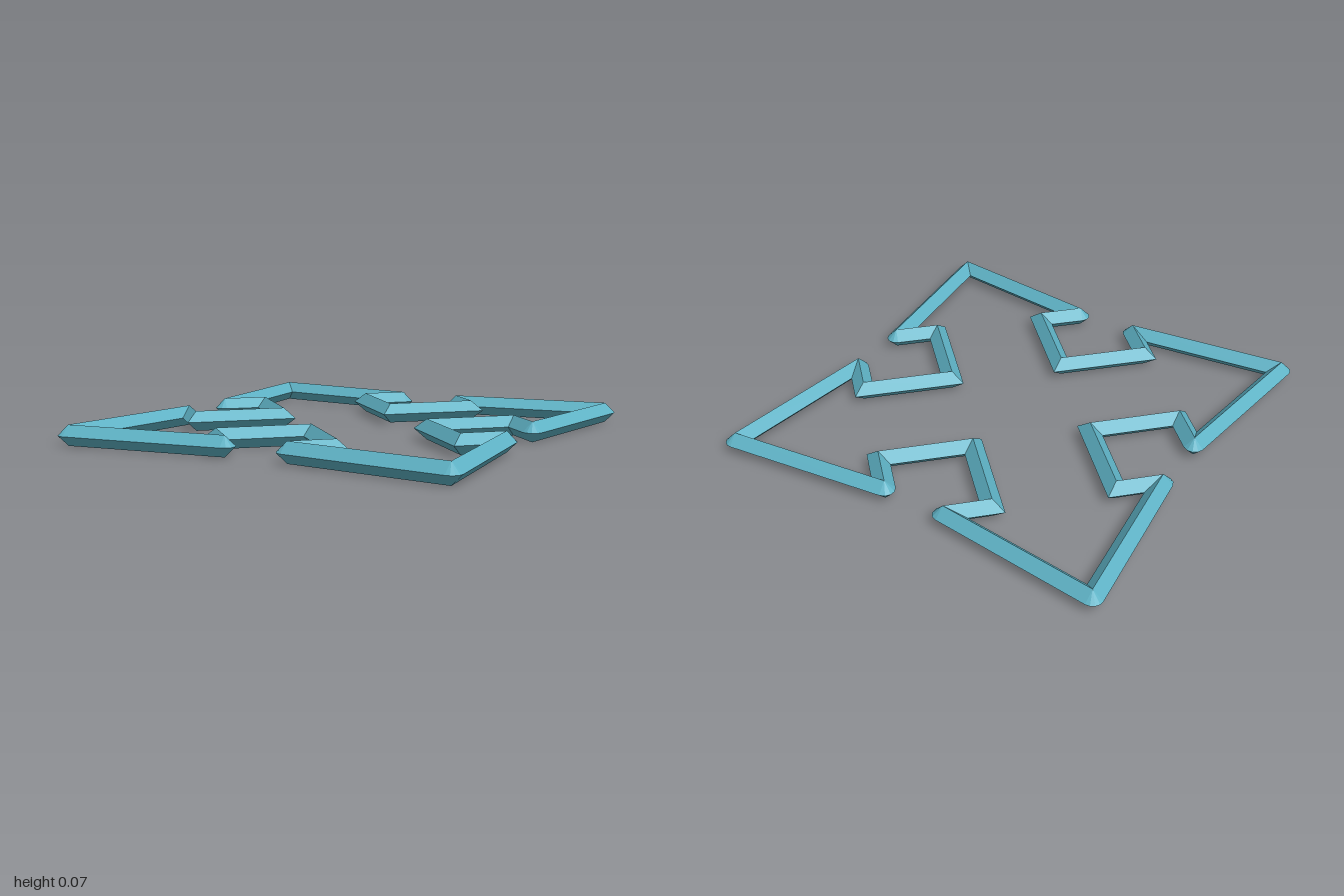
import * as THREE from 'three';

const HALF = 0.035;      // half width and half height of the diamond section
const ARC_STEPS = 4;     // facets around each rounded outer corner

// Centre line of one quarter of the four-way arrow, as [x, z]
const QUARTER = [
  [0, -0.965], [0.355, -0.515], [0.2, -0.515],
  [0.2, -0.2], [0.515, -0.2], [0.515, -0.355],
];

// Closed path: the quarter turned four times about the centre
function arrowPath() {
  const path = [];
  let quarter = QUARTER.map(([x, z]) => new THREE.Vector2(x, z));
  for (let i = 0; i < 4; i++) {
    path.push(...quarter);
    quarter = quarter.map((p) => new THREE.Vector2(-p.y, p.x));
  }
  return path;
}

// Diamond rings along the path: outer edge, top ridge, inner edge, bottom ridge
function diamondRings(path) {
  const rings = [];
  const n = path.length;
  const addRing = (p, outer, inner) => rings.push([
    new THREE.Vector3(outer.x, HALF, outer.y),
    new THREE.Vector3(p.x, 2 * HALF, p.y),
    new THREE.Vector3(inner.x, HALF, inner.y),
    new THREE.Vector3(p.x, 0, p.y),
  ]);
  path.forEach((p, i) => {
    const d0 = p.clone().sub(path[(i + n - 1) % n]).normalize();
    const d1 = path[(i + 1) % n].clone().sub(p).normalize();
    const n0 = new THREE.Vector2(d0.y, -d0.x); // outward normals of both edges
    const n1 = new THREE.Vector2(d1.y, -d1.x);
    const mitre = n0.clone().add(n1).multiplyScalar(HALF / (1 + n0.dot(n1)));
    const inner = p.clone().sub(mitre);
    const turn = Math.atan2(d0.cross(d1), d0.dot(d1));
    if (turn < 0) {
      addRing(p, p.clone().add(mitre), inner); // sharp inward corner
      return;
    }
    for (let k = 0; k <= ARC_STEPS; k++) {     // rounded outward corner
      const dir = n0.clone().rotateAround(new THREE.Vector2(), turn * k / ARC_STEPS);
      addRing(p, p.clone().addScaledVector(dir, HALF), inner);
    }
  });
  return rings;
}

// Joins successive rings with flat faces, leaving out empty triangles
function skin(rings) {
  const positions = [];
  const triangle = (a, b, c) => {
    if (new THREE.Triangle(a, b, c).getArea() < 1e-8) return;
    for (const v of [a, b, c]) positions.push(v.x, v.y, v.z);
  };
  rings.forEach((a, i) => {
    const b = rings[(i + 1) % rings.length];
    for (let k = 0; k < 4; k++) {
      const m = (k + 1) % 4;
      triangle(a[k], a[m], b[m]);
      triangle(a[k], b[m], b[k]);
    }
  });
  const geometry = new THREE.BufferGeometry();
  geometry.setAttribute('position', new THREE.Float32BufferAttribute(positions, 3));
  geometry.computeVertexNormals();
  return geometry;
}

export function createModel() {
  const group = new THREE.Group();
  group.name = 'fourWayArrow';
  const teal = new THREE.MeshStandardMaterial({ color: 0x5fb3c6, flatShading: true });
  teal.name = 'teal';
  const outline = new THREE.Mesh(skin(diamondRings(arrowPath())), teal);
  outline.name = 'arrowOutline';
  group.add(outline);
  return group;
}
